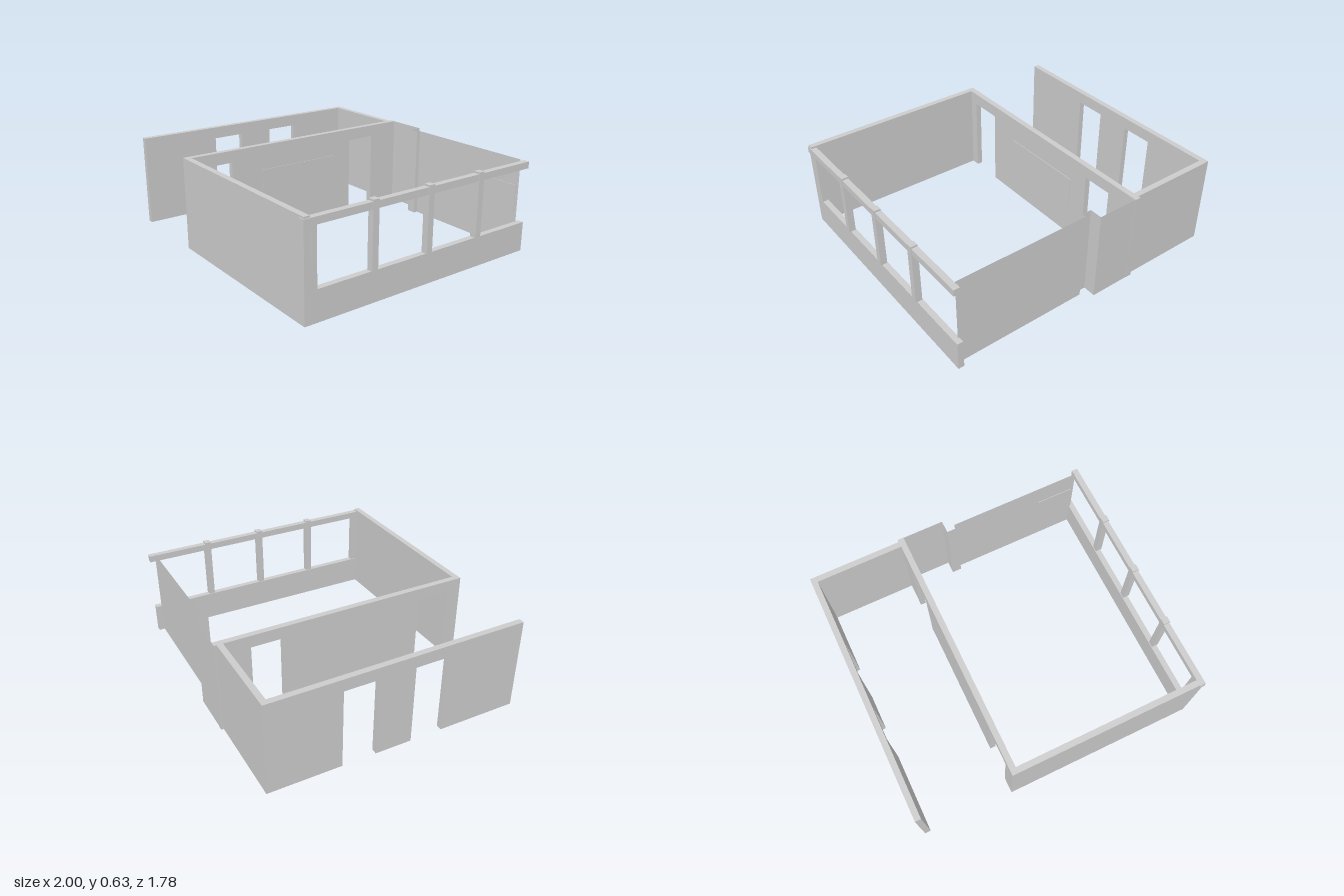
import * as THREE from 'three';

const H = 0.627; // wall height
const grey = new THREE.MeshStandardMaterial({ color: 0xcccccc, flatShading: true });
const thin = new THREE.MeshStandardMaterial({ color: 0xcccccc, flatShading: true, side: THREE.DoubleSide });

export function createModel() {
  const group = new THREE.Group();

  const add = (name, geometry, material = grey) => {
    const mesh = new THREE.Mesh(geometry, material);
    mesh.name = name;
    group.add(mesh);
    return mesh;
  };

  // Box given by its limits on each axis
  const box = (name, x0, x1, y0, y1, z0, z1) =>
    add(name, new THREE.BoxGeometry(x1 - x0, y1 - y0, z1 - z0))
      .position.set((x0 + x1) / 2, (y0 + y1) / 2, (z0 + z1) / 2);

  // Wall along z with door notches, extruded along x
  const doorWall = (name, x0, x1, z0, z1, doors, doorTop) => {
    const s = new THREE.Shape();
    s.moveTo(-z0, H);
    s.lineTo(-z0, 0);
    for (const [a, b] of doors) {
      s.lineTo(-a, 0);
      s.lineTo(-a, doorTop);
      s.lineTo(-b, doorTop);
      s.lineTo(-b, 0);
    }
    s.lineTo(-z1, 0);
    s.lineTo(-z1, H);
    const g = new THREE.ExtrudeGeometry(s, { depth: x1 - x0, bevelEnabled: false });
    g.rotateY(Math.PI / 2);
    g.translate(x0, 0, 0);
    add(name, g);
  };

  // Solid walls
  doorWall('corridorWall', -1, -0.96, -0.87, 0.88, [[-0.38, -0.15], [0.1, 0.325]], 0.545);
  doorWall('middleWall', -0.36, -0.32, -0.887, 0.885, [[-0.656, -0.443], [0.55, 0.784]], 0.545);
  box('corridorBackWall', -0.96, -0.36, 0, H, -0.87, -0.83);
  box('frontWall', -0.32, 0.99, 0, H, 0.845, 0.885);

  // Thin back wall that steps around a shallow pilaster
  const path = [[-0.32, -0.885], [-0.035, -0.885], [-0.035, -0.797], [0.032, -0.797], [0.032, -0.826], [0.96, -0.826]];
  for (let i = 0; i < path.length - 1; i++) {
    const [xa, za] = path[i], [xb, zb] = path[i + 1];
    const sheet = add(i > 0 && i < 4 ? 'pilasterFace' : 'backWall',
      new THREE.PlaneGeometry(Math.hypot(xb - xa, zb - za), H), thin);
    sheet.position.set((xa + xb) / 2, H / 2, (za + zb) / 2);
    sheet.rotation.y = Math.atan2(za - zb, xb - xa);
  }

  // Window wall: sill, posts and top beam
  box('windowSill', 0.95, 0.99, 0, 0.2, -0.865, 0.845);
  box('windowBeam', 0.955, 0.996, 0.57, 0.615, -0.865, 0.89);
  box('endPost', 0.955, 0.992, 0.2, 0.57, 0.802, 0.845);
  for (const z of [0.408, -0.009, -0.424]) {
    box('windowPost', 0.955, 1, 0.2, H, z - 0.021, z + 0.021);
  }

  // Flat boards on the walls
  box('middleWallBoard', -0.32, -0.316, 0.26, 0.453, -0.3, 0.322);
  box('backWallBoard', 0.68, 0.94, 0.26, 0.45, -0.826, -0.822);

  return group;
}
